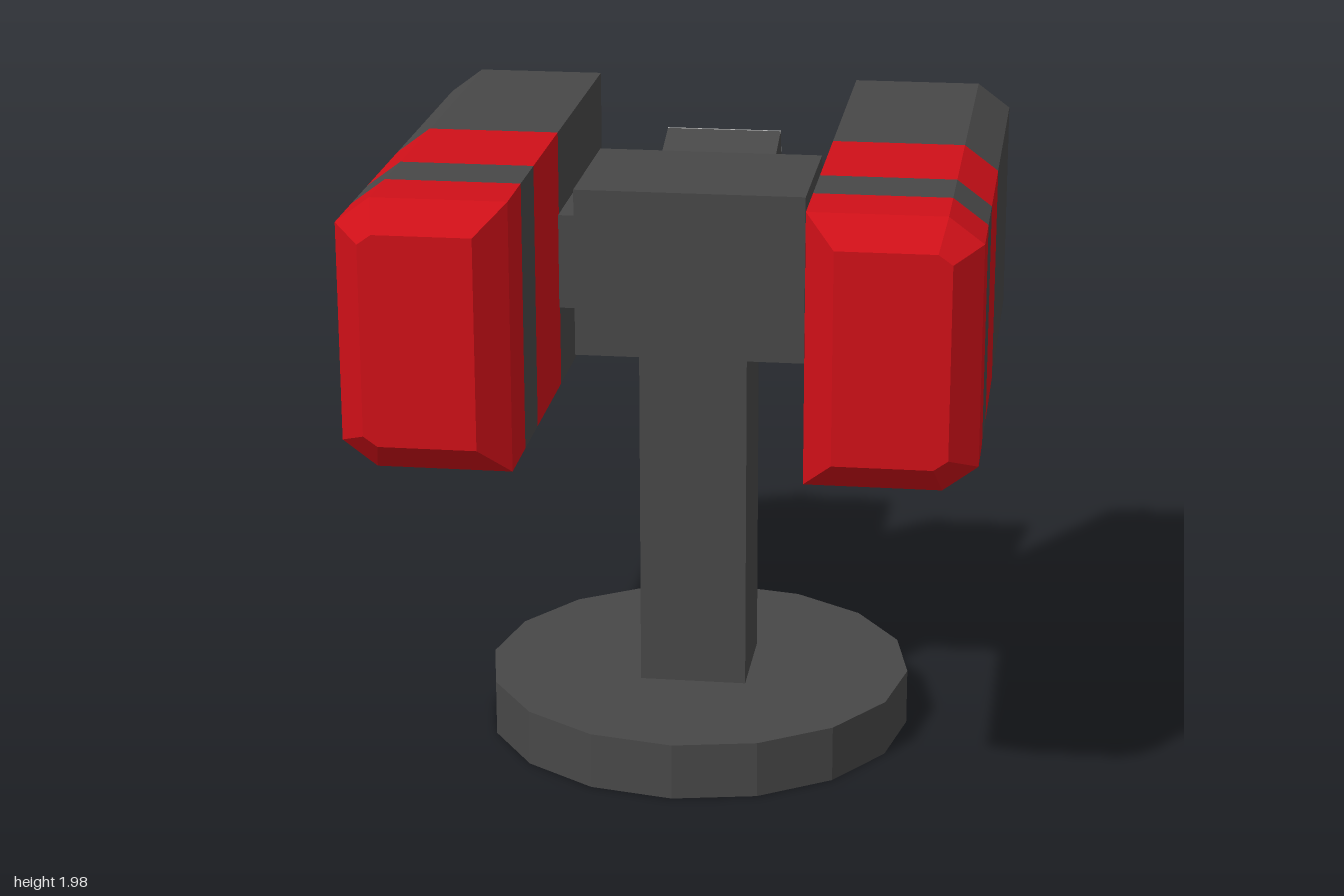
import * as THREE from 'three';

const paint = (color) => new THREE.MeshStandardMaterial({ color, flatShading: true });

// Skin between successive convex rings of [x, y] points; rings run counter-clockwise seen from +z.
function loft(rings, { frontCap = false, endCap = false } = {}) {
  const pos = [];
  const put = (...pts) => pts.forEach((p) => pos.push(...p));
  const at = (ring, i) => {
    const [x, y] = ring.pts[i % ring.pts.length];
    return [x, y, ring.z];
  };
  for (let r = 0; r < rings.length - 1; r++) {
    const a = rings[r], b = rings[r + 1];
    for (let i = 0; i < a.pts.length; i++) {
      put(at(a, i), at(b, i), at(b, i + 1));
      put(at(a, i), at(b, i + 1), at(a, i + 1));
    }
  }
  const first = rings[0], last = rings[rings.length - 1];
  for (let i = 1; i < first.pts.length - 1; i++) {
    if (frontCap) put(at(first, 0), at(first, i), at(first, i + 1));
    if (endCap) put(at(last, 0), at(last, i + 1), at(last, i));
  }
  const geo = new THREE.BufferGeometry();
  geo.setAttribute('position', new THREE.Float32BufferAttribute(pos, 3));
  geo.computeVertexNormals();
  return geo;
}

// Pod outline: square inner corners, chamfered outer corners
const outline = (x0, x1, y0, y1, cx, cy) => [
  [x0, y0], [x1 - cx, y0], [x1, y0 + cy], [x1, y1 - cy], [x1 - cx, y1], [x0, y1],
];

export function createModel() {
  const model = new THREE.Group();
  const dark = paint(0x484848);
  const red = paint(0xd01018);
  const black = paint(0x0e0e0e);
  const light = paint(0xa8a8a8);

  const add = (parent, name, geo, mat, x = 0, y = 0, z = 0) => {
    const mesh = new THREE.Mesh(geo, mat);
    mesh.name = name;
    mesh.position.set(x, y, z);
    parent.add(mesh);
    return mesh;
  };

  // Stand
  add(model, 'base', new THREE.CylinderGeometry(0.683, 0.683, 0.18, 16), dark, 0, 0.09, -0.06);
  add(model, 'column', new THREE.BoxGeometry(0.34, 1.14, 0.34), dark, 0, 0.75, -0.06);

  // Central housing with a sloping back
  const profile = new THREE.Shape([
    [-0.2, 1.3], [0.5, 1.3], [0.33, 1.83], [-0.2, 1.83],
  ].map(([x, y]) => new THREE.Vector2(x, y)));
  const housing = new THREE.ExtrudeGeometry(profile, { depth: 0.716, bevelEnabled: false });
  housing.translate(0, 0, -0.358).rotateY(Math.PI / 2);
  add(model, 'housing', housing, dark);
  add(model, 'crossArm', new THREE.BoxGeometry(0.88, 0.3, 0.295), dark, 0, 1.565, -0.068);

  // Tilted sight on the sloping back
  const sight = new THREE.Group();
  sight.name = 'sight';
  sight.position.set(0, 1.64, -0.742);
  sight.rotation.x = 0.31;
  add(sight, 'sightBox', new THREE.BoxGeometry(0.375, 0.375, 0.48), dark, 0, 0, 0.24);
  add(sight, 'sightLens', new THREE.BoxGeometry(0.375, 0.375, 0.004), light, 0, 0, -0.002);
  model.add(sight);

  // Pods with red bands and two missiles each
  for (const side of [1, -1]) {
    const pod = new THREE.Group();
    pod.name = side > 0 ? 'leftPod' : 'rightPod';
    const mirror = (pts) => (side > 0 ? pts : pts.map(([x, y]) => [-x, y]).reverse());
    const outer = mirror(outline(0.427, 0.933, 1.16, 1.975, 0.103, 0.077));
    const nose = mirror(outline(0.515, 0.85, 1.25, 1.888, 0.042, 0.03));
    const hole = mirror(outline(0.485, 0.875, 1.22, 1.915, 0.07, 0.05));
    const ring = (pts, z) => ({ pts, z });

    add(pod, 'podNose', loft([ring(nose, 1), ring(outer, 0.91), ring(outer, 0.7)], { frontCap: true }), red);
    add(pod, 'podGreyBand', loft([ring(outer, 0.7), ring(outer, 0.49)]), dark);
    add(pod, 'podRedBand', loft([ring(outer, 0.49), ring(outer, 0.065)]), red);
    add(pod, 'podBody', loft([
      ring(outer, 0.065), ring(outer, -0.785), ring(hole, -0.785), ring(hole, -0.715),
    ]), dark);
    add(pod, 'podRecess', loft([ring(hole, -0.72), ring(hole, -0.715)], { endCap: true }), black);

    for (const y of [1.72, 1.43]) {
      const missile = new THREE.Group();
      missile.name = 'missile';
      missile.position.set(side * 0.665, y, 0);
      missile.rotation.x = -Math.PI / 2;
      // Four-sided segments stacked from the recess outwards
      const segment = (name, from, to, top, mat) => add(missile, name,
        new THREE.CylinderGeometry(top, 0.124, to - from, 4), mat, 0, (from + to) / 2, 0);
      segment('missileBody', 0.7, 0.74, 0.124, red);
      segment('missileBand', 0.74, 0.835, 0.124, black);
      segment('missileCollar', 0.835, 0.863, 0.124, red);
      segment('missileTip', 0.863, 1, 0, red);
      pod.add(missile);
    }
    model.add(pod);
  }
  return model;
}
